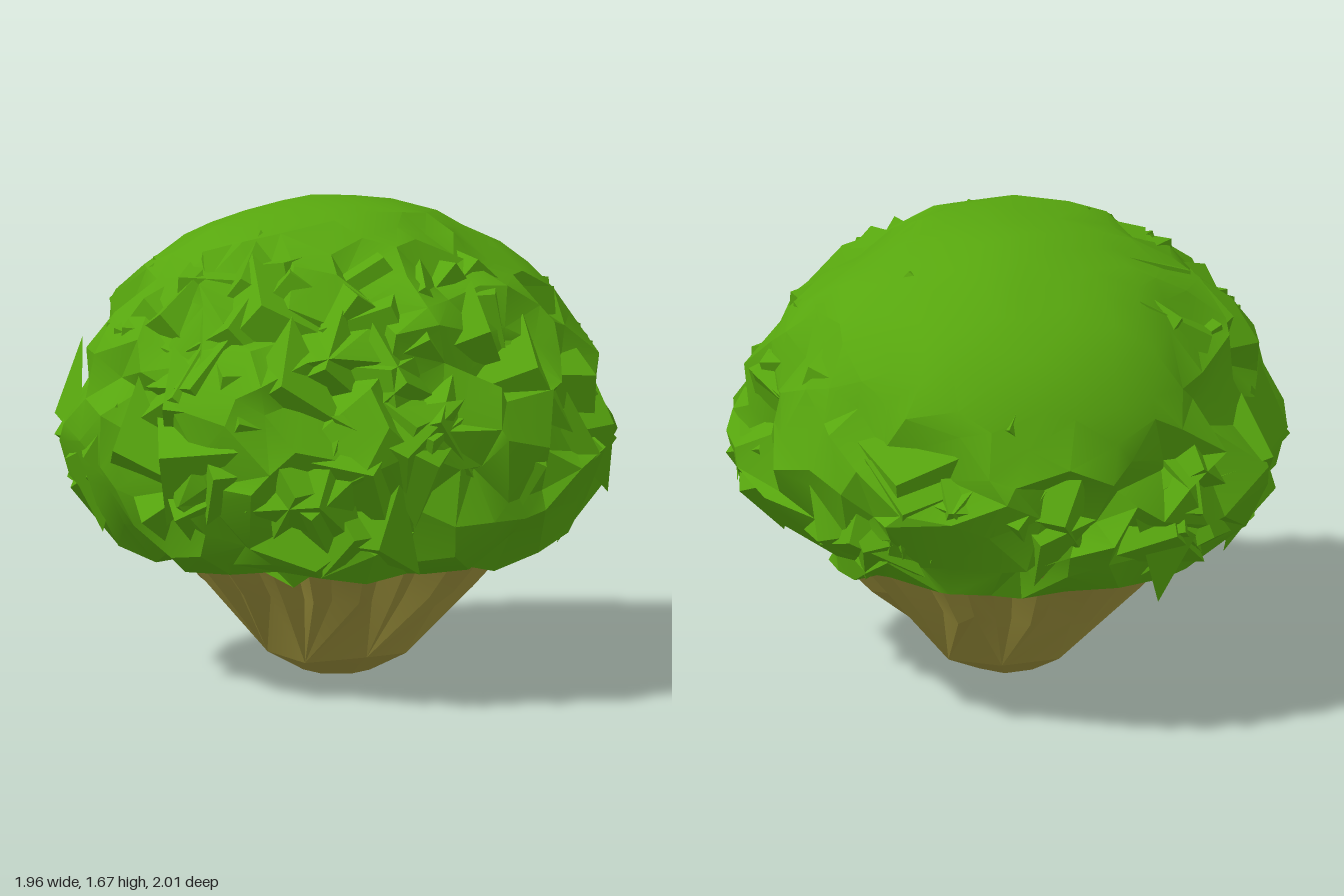
import * as THREE from 'three';
import { mergeVertices, mergeGeometries, toCreasedNormals } from 'three/addons/utils/BufferGeometryUtils.js';

const leafGreen = new THREE.MeshStandardMaterial({ color: 0x57a60e });
const barkOlive = new THREE.MeshStandardMaterial({ color: 0x998e3a, side: THREE.DoubleSide });

function seeded(seed) {
  return () => {
    seed = (seed * 1664525 + 1013904223) % 4294967296;
    return seed / 4294967296;
  };
}

const v2 = (x, y) => new THREE.Vector2(x, y);

// Crown outline from the top, round the hem, to the hollow underside
const crownProfile = new THREE.SplineCurve([
  v2(0, 1.66), v2(0.2, 1.66), v2(0.42, 1.59), v2(0.69, 1.43), v2(0.87, 1.2),
  v2(0.965, 0.98), v2(0.98, 0.83), v2(0.93, 0.67), v2(0.82, 0.52), v2(0.67, 0.45), v2(0.54, 0.55), v2(0, 0.75),
]);

// Point on the crown for a unit direction; the hem hangs lower at the front and left
function crownPoint(dir) {
  const t = Math.acos(THREE.MathUtils.clamp(dir.y, -1, 1)) / Math.PI;
  const p = crownProfile.getPointAt(t);
  const phi = Math.atan2(dir.x, dir.z);
  const drop = (0.035 * Math.cos(phi) + 0.02 * Math.sin(phi)) * THREE.MathUtils.smoothstep(t, 0.45, 0.7);
  return new THREE.Vector3(p.x * Math.sin(phi), p.y - drop, 1.02 * p.x * Math.cos(phi));
}

// One calm patch on top towards the back, shaggy everywhere else
const calm = new THREE.Vector3(-0.2, 0.85, -0.4).normalize();
const roughness = (d) => 0.15 + 0.85 * THREE.MathUtils.smoothstep(d.angleTo(calm), 0.5, 1.35);

function crownShell(rnd) {
  let geo = new THREE.IcosahedronGeometry(1, 6);
  geo.deleteAttribute('normal');
  geo.deleteAttribute('uv');
  geo = mergeVertices(geo, 1e-4);
  const pos = geo.attributes.position;
  const centre = new THREE.Vector3(0, 0.85, 0);
  for (let i = 0; i < pos.count; i++) {
    const d = new THREE.Vector3().fromBufferAttribute(pos, i);
    const rough = roughness(d);
    const shake = 0.05 + 0.1 * rough;
    d.x += (rnd() - 0.5) * shake;
    d.y += (rnd() - 0.5) * shake;
    d.z += (rnd() - 0.5) * shake;
    const p = crownPoint(d.normalize());
    p.sub(centre).multiplyScalar(1.01 - rnd() ** 1.6 * 0.16 * rough).add(centre);
    pos.setXYZ(i, p.x, p.y, p.z);
  }
  return geo.toNonIndexed();
}

// Broad three-sided leaf folds, mostly sunk into the shell
function leafFolds(rnd, count) {
  const folds = [];
  const up = new THREE.Vector3(0, 1, 0);
  while (folds.length < count) {
    const y = -0.35 + rnd() * 1.2;
    const phi = rnd() * Math.PI * 2;
    const r = Math.sqrt(1 - y * y);
    const d = new THREE.Vector3(r * Math.sin(phi), y, r * Math.cos(phi));
    if (rnd() > roughness(d)) continue;
    const h = 0.11 + rnd() * 0.05;
    const cone = new THREE.ConeGeometry(0.18 + rnd() * 0.1, h, 3, 1, true);
    cone.deleteAttribute('normal');
    cone.deleteAttribute('uv');
    cone.translate(0, -h / 2, 0);
    cone.rotateY(rnd() * 6.28);
    const tip = crownPoint(d);
    const lean = tip.clone().setY(tip.y - 0.85).normalize();
    tip.addScaledVector(lean, 0.01);
    lean.add(new THREE.Vector3(rnd() - 0.5, rnd() - 0.5, rnd() - 0.5).multiplyScalar(0.4)).normalize();
    cone.applyQuaternion(new THREE.Quaternion().setFromUnitVectors(up, lean));
    cone.translate(tip.x, tip.y, tip.z);
    folds.push(cone.toNonIndexed());
  }
  return folds;
}

function makeCrown() {
  const rnd = seeded(11);
  const geo = mergeGeometries([crownShell(rnd), ...leafFolds(rnd, 90)]);
  const crown = new THREE.Mesh(toCreasedNormals(geo, 0.45), leafGreen);
  crown.name = 'leafCrown';
  return crown;
}

// Flared trunk whose upper rings split into uneven ribs
function makeTrunk() {
  const rnd = seeded(5);
  const spokes = 42;
  const rings = [v2(0, 0), v2(0.12, 0.004), v2(0.25, 0.07), v2(0.48, 0.32), v2(0.62, 0.48), v2(0.76, 0.62)];
  const geo = new THREE.LatheGeometry(rings, spokes);
  const pos = geo.attributes.position;
  const ribs = Array.from({ length: spokes }, (_, i) => ({
    reach: (i % 2 ? 0.82 : 0.96) + rnd() * 0.08,
    turn: (rnd() - 0.5) * 0.1,
    foot: 0.8 + rnd() * 0.4,
  }));
  for (let i = 0; i < pos.count; i++) {
    const spoke = Math.floor(i / rings.length) % spokes;
    const ring = i % rings.length;
    const { x, y } = rings[ring];
    // lower rings gather several spokes into broad facets
    const low = ring < 3;
    const root = low ? Math.floor(spoke / 6) * 6 : spoke;
    const rib = ribs[root];
    const a = (root / spokes) * Math.PI * 2 + (low ? 0 : rib.turn);
    const r = x * (low ? 1 : rib.reach);
    const stretch = low ? 1 : 1 - 0.05 * Math.cos(a);
    pos.setXYZ(i, r * Math.sin(a), ring === 2 ? y * rib.foot : y, r * Math.cos(a) * stretch);
  }
  geo.deleteAttribute('uv');
  const trunk = new THREE.Mesh(toCreasedNormals(geo, 0.35), barkOlive);
  trunk.name = 'trunk';
  return trunk;
}

export function createModel() {
  const bush = new THREE.Group();
  bush.name = 'bush';
  bush.add(makeTrunk(), makeCrown());
  return bush;
}
